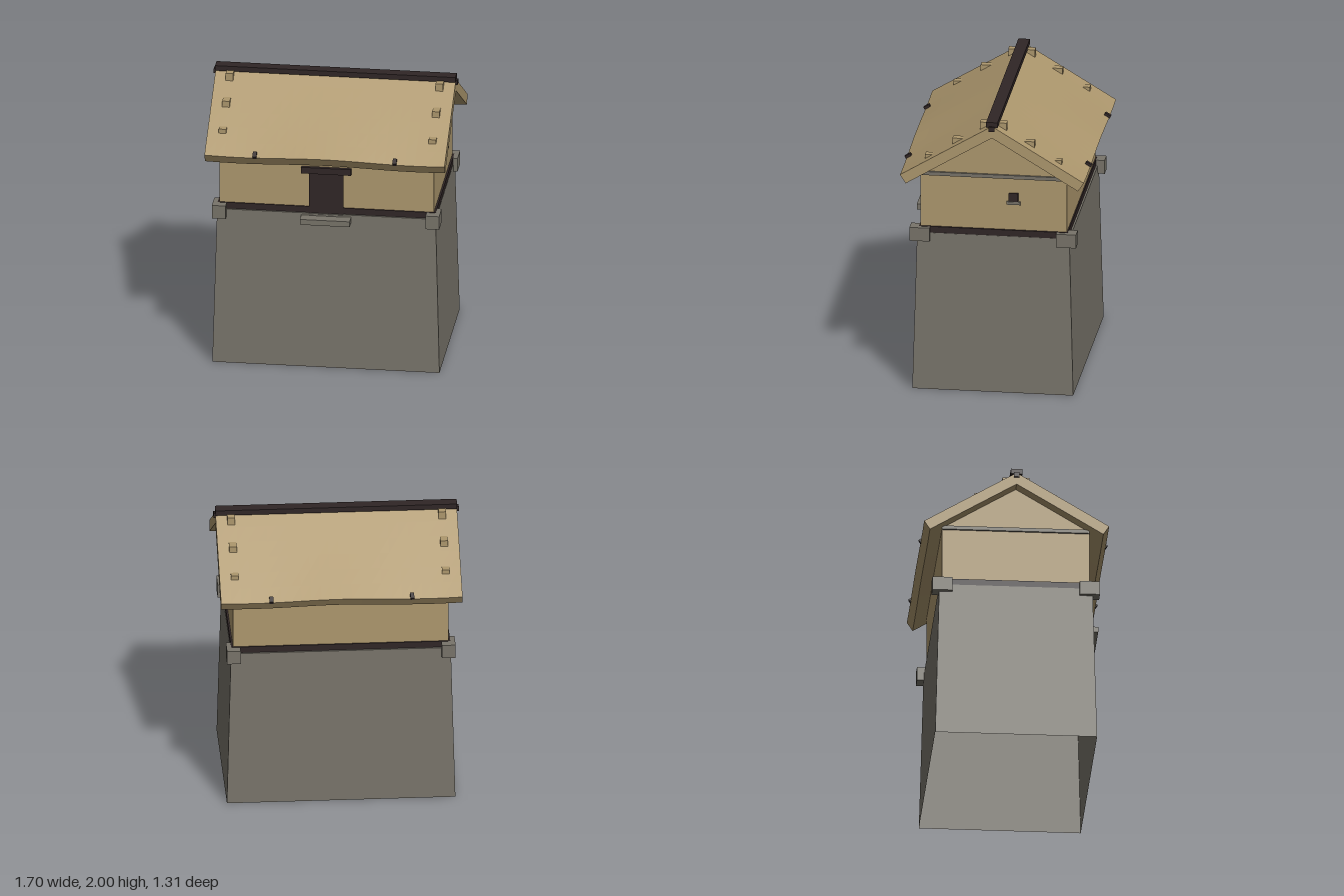
import * as THREE from 'three';

export function createModel() {
  const model = new THREE.Group();
  const mat = (name, color, side = THREE.FrontSide) => {
    const m = new THREE.MeshStandardMaterial({ color, side, flatShading: true });
    m.name = name;
    return m;
  };
  const stone = mat('stone', 0x78746a, THREE.DoubleSide);
  const timber = mat('pale timber', 0xae986e);
  const dark = mat('dark timber', 0x302626);

  const add = (name, geometry, material) => {
    const mesh = new THREE.Mesh(geometry, material);
    mesh.name = name;
    model.add(mesh);
    return mesh;
  };
  // Box given by its extents on each axis
  const box = (name, material, x0, x1, y0, y1, z0, z1) => {
    const mesh = add(name, new THREE.BoxGeometry(x1 - x0, y1 - y0, z1 - z0), material);
    mesh.position.set((x0 + x1) / 2, (y0 + y1) / 2, (z0 + z1) / 2);
    return mesh;
  };
  // Move every vertex by a rule
  const warp = (geometry, rule) => {
    const p = geometry.attributes.position;
    const v = new THREE.Vector3();
    for (let i = 0; i < p.count; i++) {
      rule(v.fromBufferAttribute(p, i));
      p.setXYZ(i, v.x, v.y, v.z);
    }
    geometry.computeVertexNormals();
    return geometry;
  };

  // Tapered stone base, open underneath
  const base = warp(new THREE.BoxGeometry(1, 1, 1), (v) => {
    const top = v.y > 0;
    v.set(Math.sign(v.x) * (top ? 0.76 : 0.79), top ? 1.14 : 0, Math.sign(v.z) * (top ? 0.53 : 0.56));
  });
  const faces = Array.from(base.index.array);
  faces.splice(18, 6); // bottom face
  base.setIndex(faces);
  base.clearGroups();
  add('stoneBase', base, stone);

  // Sill plate and corner stones
  box('sillPlate', dark, -0.758, 0.758, 1.135, 1.185, -0.518, 0.518);
  for (const sx of [-1, 1]) {
    for (const sz of [-1, 1]) {
      const corner = box('cornerStone', stone, -0.0475, 0.0475, 1.085, 1.183, -0.07, 0.07);
      corner.position.x = sx * 0.743;
      corner.position.z = sz * 0.51;
    }
  }

  // Walls with gables, extruded along the ridge
  const gable = new THREE.Shape([
    new THREE.Vector2(-0.51, 1.16), new THREE.Vector2(0.51, 1.16),
    new THREE.Vector2(0.51, 1.585), new THREE.Vector2(0, 1.89), new THREE.Vector2(-0.51, 1.585),
  ]);
  const walls = new THREE.ExtrudeGeometry(gable, { depth: 1.49, bevelEnabled: false });
  walls.translate(0, 0, -0.745).rotateY(Math.PI / 2);
  add('walls', walls, timber);
  for (const s of [-1, 1]) {
    const beam = box('gableBeam', stone, -0.01, 0.01, 1.562, 1.588, -0.51, 0.51);
    beam.position.x = s * 0.75;
  }

  // Door, lintel and step
  box('door', dark, -0.122, 0.118, 1.137, 1.44, 0.5, 0.524);
  box('doorLintel', dark, -0.175, 0.172, 1.438, 1.484, 0.5, 0.535);
  box('threshold', stone, -0.12, 0.115, 1.125, 1.137, 0.5, 0.535);
  box('doorStep', stone, -0.175, 0.172, 1.085, 1.125, 0.52, 0.612);

  // Small window with a stone sill on the left gable wall
  box('window', dark, 0.74, 0.757, 1.393, 1.455, -0.172, -0.107);
  box('windowSill', stone, 0.74, 0.762, 1.373, 1.395, -0.188, -0.092);

  // Roof slabs with gently waving eaves
  for (const s of [1, -1]) {
    const slab = warp(new THREE.BoxGeometry(1.67, 1, 1, 24, 1, 6), (v) => {
      const t = v.z + 0.5;
      const top = v.y > 0;
      const z = t * (top ? 0.64 : 0.6);
      const wave = 0.007 * Math.cos(5.2 * v.x) * t * t;
      v.set(v.x, (top ? 1.971 : 1.885) - 0.6 * z + wave, z);
    });
    add('roofSlope', slab, timber).rotation.y = s > 0 ? 0 : Math.PI;

    for (const sx of [-1, 1]) {
      // Stepped blocks on the slope: inner z, outer z, bottom, top
      for (const [z0, z1, y0, y1] of [
        [0.02, 0.093, 1.9, 1.97], [0.21, 0.285, 1.785, 1.843], [0.42, 0.475, 1.67, 1.714],
      ]) {
        const block = box('roofBlock', timber, -0.026, 0.026, y0, y1, -(z1 - z0) / 2, (z1 - z0) / 2);
        block.position.x = sx * 0.73;
        block.position.z = (s * (z0 + z1)) / 2;
      }
      // Eave pegs
      const peg = add('eavePeg', new THREE.BoxGeometry(0.027, 0.024, 0.045), dark);
      peg.position.set(sx * 0.487, 1.597, s * 0.628);
      peg.rotation.x = s * 0.54;
    }
  }

  // Ridge pole and cap
  box('ridgePole', dark, -0.848, 0.848, 1.935, 1.97, -0.02, 0.02);
  box('ridgeCap', dark, -0.836, 0.836, 1.963, 2.0, -0.04, 0.04);

  return model;
}
